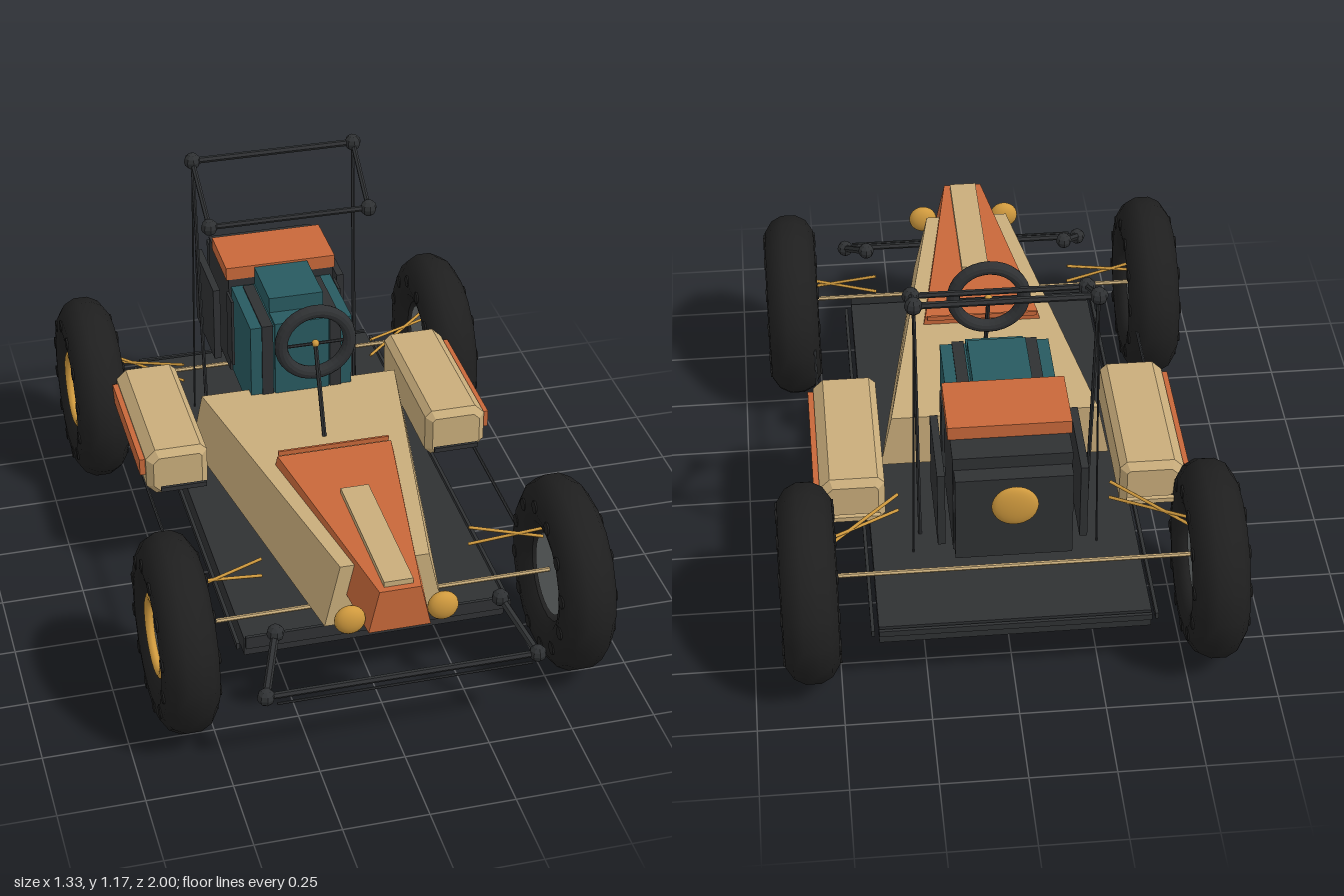
import * as THREE from 'three';

const paint = (color, flat = false) => new THREE.MeshStandardMaterial({ color, flatShading: flat });
const tan = paint(0xc9ad7b, true), orange = paint(0xc8683a, true), teal = paint(0x285a60, true);
const dark = paint(0x2f3133, true), rubber = paint(0x1f1f1f), gold = paint(0xd09a3e), grey = paint(0x6c7070);
const V = (x, y, z) => new THREE.Vector3(x, y, z);

export function createModel() {
  const root = new THREE.Group();

  function add(name, geometry, material, x = 0, y = 0, z = 0, parent = root) {
    const mesh = new THREE.Mesh(geometry, material);
    mesh.name = name;
    mesh.position.set(x, y, z);
    parent.add(mesh);
    return mesh;
  }

  // box given by its limits on each axis
  function box(name, material, x0, x1, y0, y1, z0, z1) {
    return add(name, new THREE.BoxGeometry(Math.abs(x1 - x0), y1 - y0, z1 - z0), material,
      (x0 + x1) / 2, (y0 + y1) / 2, (z0 + z1) / 2);
  }

  // slim rod between two points
  function rod(name, material, a, b, r = 0.006) {
    const dir = b.clone().sub(a);
    const mesh = add(name, new THREE.CylinderGeometry(r, r, dir.length(), 6), material);
    mesh.position.copy(a).add(b).multiplyScalar(0.5);
    mesh.quaternion.setFromUnitVectors(V(0, 1, 0), dir.normalize());
    return mesh;
  }

  // tapered block between a back and a front trapezoid: { z, y0, y1, w0, w1 }
  function taper(name, material, back, front) {
    const g = new THREE.BoxGeometry(1, 1, 1), p = g.attributes.position;
    for (let i = 0; i < p.count; i++) {
      const s = p.getZ(i) > 0 ? front : back, top = p.getY(i) > 0;
      p.setXYZ(i, Math.sign(p.getX(i)) * (top ? s.w1 : s.w0), top ? s.y1 : s.y0, s.z);
    }
    g.computeVertexNormals();
    return add(name, g, material);
  }

  // flattened ball for lamps
  function lamp(name, x, y, z, r, depth) {
    add(name, new THREE.SphereGeometry(r, 20, 14), gold, x, y, z).scale.z = depth / r;
  }

  const sides = [-1, 1];

  // floor pan and its rails
  box('floor', dark, -0.39, 0.39, 0.2, 0.26, -0.87, 0.67);
  box('frontFloorRail', dark, -0.39, 0.39, 0.24, 0.28, 0.685, 0.695);
  box('rearFloorRail', dark, -0.39, 0.39, 0.24, 0.26, -0.89, -0.88);
  for (const s of sides) {
    box('sideFloorRail', dark, s * 0.402, s * 0.412, 0.225, 0.245, -0.87, 0.67);
    rod('sideTieRod', dark, V(s * 0.52, 0.3, -0.5), V(s * 0.52, 0.3, 0.45), 0.005);
  }

  // hull and hood
  taper('hull', tan, { z: -0.24, y0: 0.33, y1: 0.505, w0: 0.345, w1: 0.31 },
    { z: 0.76, y0: 0.33, y1: 0.53, w0: 0.175, w1: 0.13 });
  taper('hood', orange, { z: 0.2, y0: 0.5, y1: 0.545, w0: 0.185, w1: 0.175 },
    { z: 0.92, y0: 0.41, y1: 0.545, w0: 0.09, w1: 0.06 });
  box('hoodRearTrim', orange, -0.17, 0.17, 0.54, 0.555, 0.185, 0.192);
  box('hoodStrip', tan, -0.042, 0.042, 0.543, 0.562, 0.43, 0.9);
  for (const s of sides) lamp('headlight', s * 0.135, 0.44, 0.885, 0.045, 0.027);

  // side pods with chamfered edges
  const pod = new THREE.Shape([[0.35, 0.35], [0.37, 0.33], [0.51, 0.33], [0.54, 0.36], [0.54, 0.455],
    [0.51, 0.485], [0.37, 0.485], [0.35, 0.465]].map(([x, y]) => new THREE.Vector2(x - 0.445, y)));
  const podGeometry = new THREE.ExtrudeGeometry(pod, {
    depth: 0.47, bevelEnabled: true, bevelSize: 0.02, bevelOffset: -0.02, bevelThickness: 0.02, bevelSegments: 1,
  });
  for (const s of sides) {
    const mesh = add('sidePod', podGeometry, tan, s * 0.44, 0, s > 0 ? -0.48 : -0.01);
    if (s < 0) mesh.rotation.y = Math.PI;
    box('podStripe', orange, s * 0.535, s * 0.552, 0.395, 0.45, -0.46, -0.02);
    box('podRearStrut', tan, s * 0.36, s * 0.5, 0.37, 0.385, -0.535, -0.52);
    box('podFrontStrut', dark, s * 0.36, s * 0.5, 0.37, 0.385, 0.04, 0.05);
  }

  // seat
  box('seat', teal, -0.16, 0.16, 0.44, 0.745, -0.47, -0.205);
  box('seatTop', teal, -0.085, 0.085, 0.74, 0.805, -0.48, -0.27);
  box('seatFrontPad', teal, -0.085, 0.085, 0.5, 0.755, -0.27, -0.198);
  for (const s of sides) {
    box('seatStrap', dark, s * 0.09, s * 0.125, 0.49, 0.75, -0.46, -0.2);
    box('seatSidePanel', dark, s * 0.168, s * 0.176, 0.5, 0.73, -0.47, -0.4);
  }
  box('seatBackCushion', orange, -0.175, 0.175, 0.77, 0.812, -0.675, -0.47);

  // engine box behind the seat
  box('engineBox', dark, -0.168, 0.168, 0.44, 0.77, -0.76, -0.47);
  box('engineRearCover', dark, -0.165, 0.165, 0.45, 0.73, -0.81, -0.755);
  for (const s of sides) box('engineSidePanel', dark, s * 0.19, s * 0.212, 0.47, 0.72, -0.77, -0.5);
  lamp('rearLamp', 0, 0.65, -0.83, 0.066, 0.02);

  // steering
  add('steeringWheel', new THREE.TorusGeometry(0.106, 0.02, 12, 32), dark, 0, 0.78, -0.03);
  rod('steeringColumn', dark, V(0, 0.775, -0.03), V(0, 0.51, 0.08), 0.007);
  rod('steeringSpoke', dark, V(-0.1, 0.775, -0.03), V(0.1, 0.775, -0.03), 0.005);
  add('steeringHub', new THREE.SphereGeometry(0.012, 10, 8), gold, 0, 0.775, -0.03);

  // roll cage and front bumper: rods with ball joints
  const joint = new THREE.SphereGeometry(0.026, 8, 6);
  for (const s of sides) {
    const top = V(s * 0.255, 1.155, -0.56), fore = V(s * 0.25, 1.035, -0.35);
    const upper = V(s * 0.33, 0.375, 0.81), lower = V(s * 0.395, 0.28, 0.965);
    rod('cagePost', dark, V(s * 0.245, 0.26, -0.48), top);
    rod('cageBrace', dark, V(s * 0.27, 0.26, -0.56), top, 0.003);
    rod('cageArm', dark, top, fore, 0.008);
    rod('bumperArm', dark, upper, lower, 0.012);
    for (const p of [top, fore]) add('cageJoint', joint, dark, p.x, p.y, p.z);
    for (const p of [upper, lower]) add('bumperJoint', joint, dark, p.x, p.y, p.z);
  }
  for (const [x, y, z, r] of [[0.255, 1.155, -0.56, 0.01], [0.25, 1.035, -0.35, 0.009]])
    rod('cageCrossbar', dark, V(-x, y, z), V(x, y, z), r);
  rod('bumperBar', dark, V(-0.395, 0.28, 0.965), V(0.395, 0.28, 0.965), 0.01);
  rod('bumperLip', dark, V(-0.37, 0.275, 0.995), V(0.37, 0.275, 0.995), 0.004);

  // wheels: lathed tyre, sidewall studs, rim and hub disc
  const tyreProfile = [[0.14, -0.05], [0.165, -0.072], [0.2, -0.082], [0.24, -0.078], [0.275, -0.055], [0.292, -0.022],
    [0.292, 0.022], [0.275, 0.055], [0.24, 0.078], [0.2, 0.082], [0.165, 0.072], [0.14, 0.05], [0.14, -0.05]]
    .map(([r, h]) => new THREE.Vector2(r, h));
  const tyre = new THREE.LatheGeometry(tyreProfile, 18).rotateZ(-Math.PI / 2);
  const stud = new THREE.CylinderGeometry(0.02, 0.02, 0.168, 8).rotateZ(Math.PI / 2);
  const hub = new THREE.CylinderGeometry(0.122, 0.122, 0.09, 28).rotateZ(Math.PI / 2);
  const rim = new THREE.TorusGeometry(0.113, 0.014, 8, 32).rotateY(Math.PI / 2);
  for (const s of sides) for (const z of [0.64, -0.705]) {
    const wheel = new THREE.Group();
    wheel.name = z > 0 ? 'frontWheel' : 'rearWheel';
    wheel.position.set(s * 0.582, 0.297, z);
    root.add(wheel);
    add('tyre', tyre, rubber, 0, 0, 0, wheel);
    add('hub', hub, grey, 0, 0, 0, wheel);
    add('rim', rim, gold, s * 0.055, 0, 0, wheel);
    for (let i = 0; i < 12; i++) {
      const a = (i + 0.5) * Math.PI / 6;
      add('tyreStud', stud, rubber, 0, 0.215 * Math.sin(a), 0.215 * Math.cos(a), wheel);
    }
    // suspension links
    const zi = z > 0 ? 0.56 : -0.52, zo = z > 0 ? 0.59 : -0.68;
    rod('upperLink', gold, V(s * 0.31, 0.45, zi), V(s * 0.53, 0.4, zo), 0.005);
    rod('lowerLink', gold, V(s * 0.31, 0.39, zi), V(s * 0.53, 0.43, zo), 0.005);
  }
  for (const z of [0.64, -0.705]) rod('axle', tan, V(-0.54, 0.315, z), V(0.54, 0.315, z), 0.007);

  return root;
}
